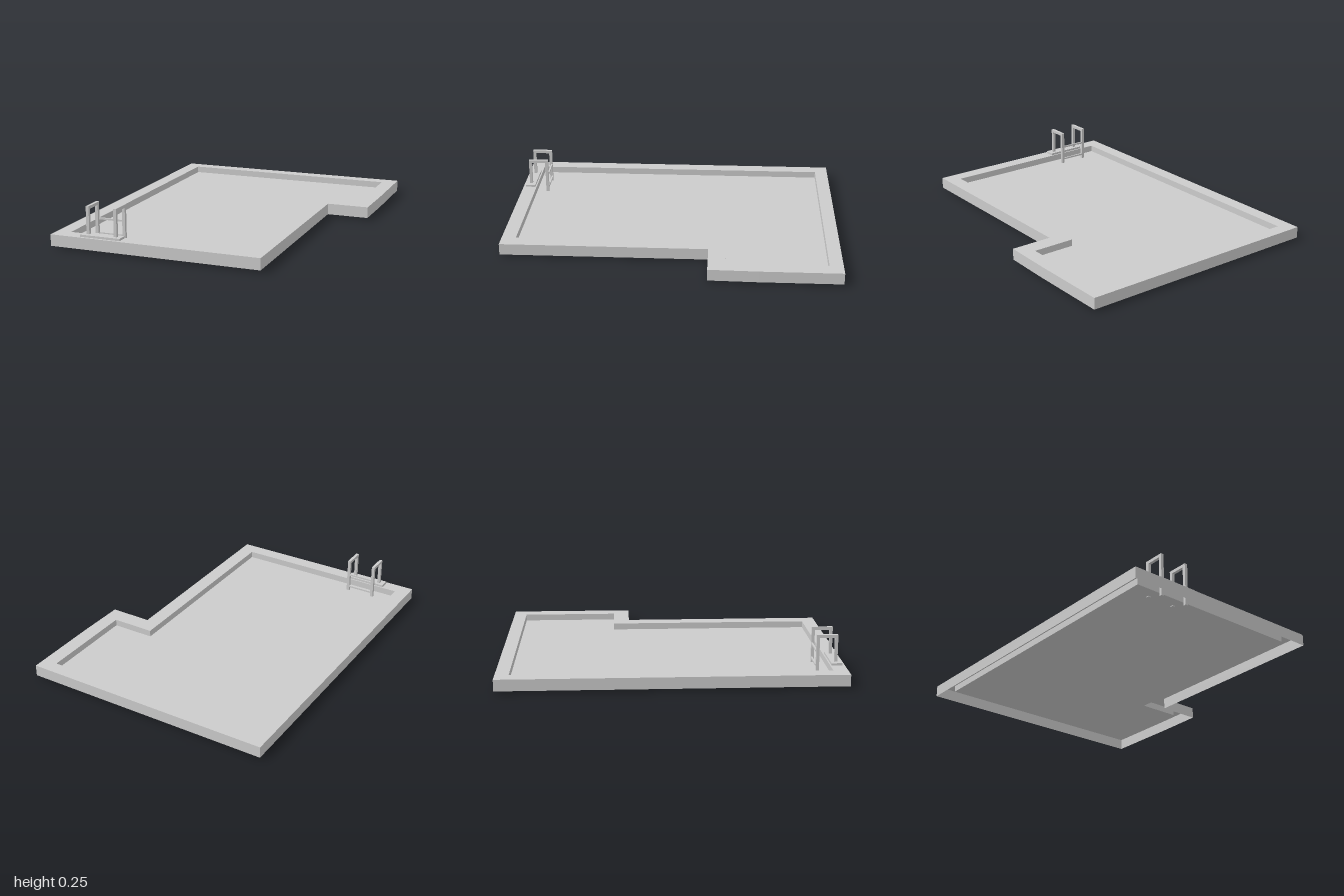
import * as THREE from 'three';

const material = new THREE.MeshStandardMaterial({ color: 0xcccccc, side: THREE.DoubleSide });

// Plan outlines as [x, z], counter-clockwise seen from above
const OUTER = [[-0.765, 1], [0.5, 1], [0.5, -0.23], [0.754, -0.23], [0.76, -0.52], [0.76, -1], [-0.765, -1]];
const INNER = [[-0.68, 0.915], [0.41, 0.915], [0.41, -0.33], [0.67, -0.33], [0.67, -0.92], [-0.68, -0.92]];
const TOP = 0.08, BOTTOM = 0.012, FLOOR = 0.04;

const toPoints = (outline) => outline.map(([x, z]) => new THREE.Vector2(x, -z));

function addMesh(parent, name, geometry) {
  const mesh = new THREE.Mesh(geometry, material);
  mesh.name = name;
  parent.add(mesh);
  return mesh;
}

// Horizontal sheet at height y
function sheet(shape, y) {
  return new THREE.ShapeGeometry(shape).rotateX(-Math.PI / 2).translate(0, y, 0);
}

// Vertical walls following a closed outline
function walls(outline, y0, y1) {
  const pos = [];
  outline.forEach(([ax, az], i) => {
    const [bx, bz] = outline[(i + 1) % outline.length];
    pos.push(ax, y0, az, bx, y0, bz, bx, y1, bz, ax, y0, az, bx, y1, bz, ax, y1, az);
  });
  const g = new THREE.BufferGeometry();
  g.setAttribute('position', new THREE.Float32BufferAttribute(pos, 3));
  g.computeVertexNormals();
  return g;
}

// Box given by its minimum and maximum corners
function box(parent, name, [x0, y0, z0], [x1, y1, z1]) {
  const g = new THREE.BoxGeometry(x1 - x0, y1 - y0, z1 - z0);
  g.translate((x0 + x1) / 2, (y0 + y1) / 2, (z0 + z1) / 2);
  return addMesh(parent, name, g);
}

export function createModel() {
  const model = new THREE.Group();
  model.name = 'swimmingPool';

  // Hollow rim, open underneath
  const rim = new THREE.Group();
  rim.name = 'rim';
  const deck = new THREE.Shape(toPoints(OUTER));
  deck.holes.push(new THREE.Path(toPoints(INNER).reverse()));
  addMesh(rim, 'deckTop', sheet(deck, TOP));
  addMesh(rim, 'outerWalls', walls(OUTER, BOTTOM, TOP));
  addMesh(rim, 'innerWalls', walls([...INNER].reverse(), FLOOR, TOP));
  model.add(rim);

  // Basin surface
  addMesh(model, 'basinFloor', sheet(new THREE.Shape(toPoints(INNER)), FLOOR));

  // Ladder: two square-section hoops joined by rungs, on a mounting pad
  const ladder = new THREE.Group();
  ladder.name = 'ladder';
  box(ladder, 'mountingPad', [-0.585, TOP, 0.923], [-0.337, 0.093, 0.985]);
  for (const x of [-0.546, -0.375]) {
    const l = x - 0.009, r = x + 0.009;
    box(ladder, 'deckPost', [l, 0, 0.944], [r, 0.237, 0.962]);
    box(ladder, 'poolPost', [l, 0.035, 0.838], [r, 0.237, 0.856]);
    box(ladder, 'handrail', [l, 0.237, 0.838], [r, 0.255, 0.962]);
  }
  for (const y of [0.07, 0.156]) {
    box(ladder, 'rung', [-0.537, y - 0.005, 0.836], [-0.384, y + 0.005, 0.846]);
  }
  model.add(ladder);

  return model;
}
